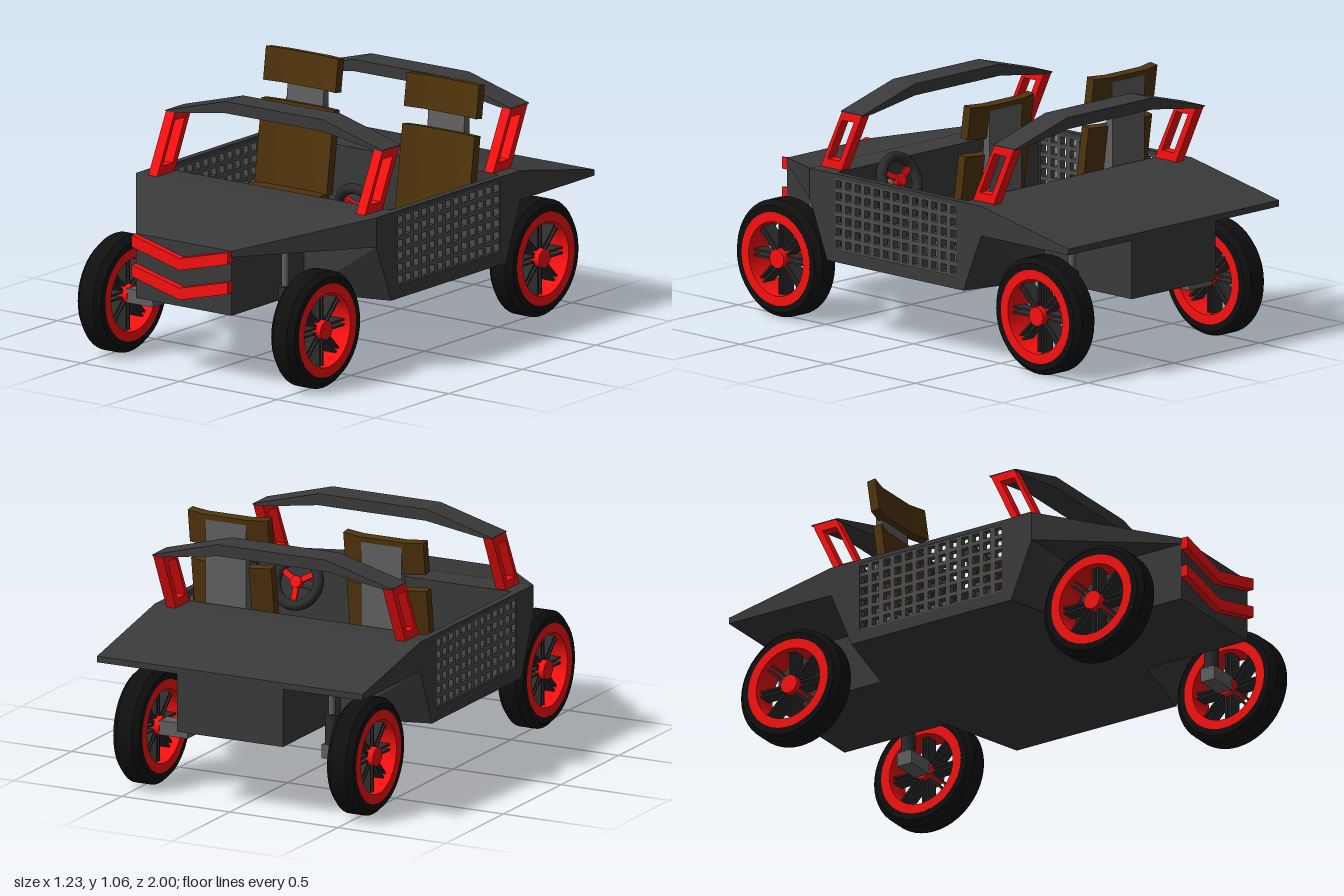
import * as THREE from 'three';
import { toCreasedNormals } from 'three/addons/utils/BufferGeometryUtils.js';
import { ConvexGeometry } from 'three/addons/geometries/ConvexGeometry.js';

const paint = (color) => new THREE.MeshStandardMaterial({ color });
const BODY = paint(0x3a3a3a), RED = paint(0xfa1010), BROWN = paint(0x50340c);
const RUBBER = paint(0x101010), METAL = paint(0x606060), GRILLE = paint(0x4c4c4c), DARK = paint(0x2c2c2c);

function add(parent, name, geometry, material, x = 0, y = 0, z = 0) {
  const mesh = new THREE.Mesh(geometry, material);
  mesh.name = name;
  mesh.position.set(x, y, z);
  parent.add(mesh);
  return mesh;
}

const polygon = (pts) => new THREE.Shape(pts.map(([a, b]) => new THREE.Vector2(a, b)));

// Counter-clockwise rectangle
const rect = (a0, a1, b0, b1) => [[a0, b0], [a1, b0], [a1, b1], [a0, b1]];

// Extrudes a [z, y] outline across x, centred on x; holes run counter-clockwise
function sideExtrude(pts, x, width, holes = []) {
  const shape = polygon(pts);
  shape.holes = holes.map(polygon);
  const geo = new THREE.ExtrudeGeometry(shape, { depth: width, bevelEnabled: false });
  return geo.rotateY(-Math.PI / 2).translate(x + width / 2, 0, 0);
}

// Convex block mirrored in x from [x, y, z] corners
const block = (pts) => new ConvexGeometry(
  pts.flatMap(([x, y, z]) => [new THREE.Vector3(x, y, z), new THREE.Vector3(-x, y, z)]));

const lathe = (pts, segments = 48) => toCreasedNormals(
  new THREE.LatheGeometry(pts.map(([r, y]) => new THREE.Vector2(r, y)), segments).rotateZ(Math.PI / 2), 0.5);

function buildBody() {
  const body = new THREE.Group();
  body.name = 'body';
  const W = 0.615, N = 0.245, LOW = 0.308, MID = 0.554, TOP = 0.678;

  // Hood, nose and front bulkhead, whose lower corners sweep back beside the wheels
  add(body, 'hood', block([[W, TOP, 0.48], [W, MID, 0.48], [N, 0.58, 0.97], [N, MID, 0.97]]), BODY);
  add(body, 'noseBox', block([[N, MID + 0.01, 0.42], [N, LOW, 0.42], [N, MID + 0.01, 0.97], [N, LOW, 0.97]]), BODY);
  add(body, 'frontBulkhead', block([[W, TOP, 0.345], [W, TOP, 0.48], [W, MID, 0.48],
    [W, LOW, 0.38], [N, LOW, 0.48], [W, LOW, 0.345]]), BODY);

  // Rear deck, tail and rear bulkhead
  add(body, 'rearDeck', block([[W, TOP, -0.5], [W, MID, -0.5], [W, 0.58, -1], [W, MID, -1]]), BODY);
  add(body, 'tailBox', block([[N, MID + 0.01, -0.42], [N, LOW, -0.42], [N, MID + 0.01, -0.999], [N, LOW, -0.999]]), BODY);
  add(body, 'rearBulkhead', block([[W, TOP, -0.39], [W, TOP, -0.5], [W, MID, -0.5],
    [W, LOW, -0.4], [N, LOW, -0.5], [W, LOW, -0.39]]), BODY);
  add(body, 'floor', new THREE.BoxGeometry(1.2, 0.035, 0.75), BODY, 0, LOW + 0.0175, -0.02);

  // Side panels, each framing a perforated grille
  const holes = [];
  for (let i = 0; i < 13; i++) for (let j = 0; j < 6; j++) {
    const z = 0.315 - i * 0.0545, y = 0.385 + j * 0.05, h = 0.016;
    holes.push(rect(z - h, z + h, y - h, y + h));
  }
  const opening = rect(-0.36, 0.336, 0.36, 0.66);
  for (const s of [-1, 1]) {
    add(body, 'sidePanel', sideExtrude(rect(-0.39, 0.345, LOW, TOP), s * 0.6, 0.03, [opening]), BODY);
    add(body, 'sideGrille', sideExtrude(opening, s * 0.6, 0.026, holes), GRILLE);
  }

  // Red chevrons on the nose
  for (const y of [0.518, 0.393]) {
    const shape = polygon([[-N, y + 0.062], [-N, y + 0.012], [0, y - 0.05], [N, y + 0.012], [N, y + 0.062], [0, y]]);
    add(body, 'noseChevron', new THREE.ExtrudeGeometry(shape, { depth: 0.03, bevelEnabled: false }), RED, 0, 0, 0.97);
  }
  return body;
}

// Roll bar: arched crosspiece on two hollow slanted posts
function buildRollBar(z) {
  const bar = new THREE.Group();
  bar.name = 'rollBar';
  const arch = polygon([[-0.555, 0.924], [-0.5, 0.924], [-0.25, 0.962], [0.25, 0.962], [0.5, 0.924],
    [0.555, 0.924], [0.555, 0.928], [0.25, 1.011], [-0.25, 1.011], [-0.555, 0.928]]);
  add(bar, 'crossBar', new THREE.ExtrudeGeometry(arch, { depth: 0.125, bevelEnabled: false }), BODY, 0, 0, -0.245);
  const outer = [[0, 0.67], [-0.12, 0.67], [-0.24, 0.926], [-0.125, 0.926]];
  const hole = [[-0.043, 0.715], [-0.125, 0.89], [-0.193, 0.89], [-0.11, 0.715]];
  for (const s of [-1, 1]) add(bar, 'rollBarPost', sideExtrude(outer, s * 0.5315, 0.045, [hole.toReversed().reverse()]), RED);
  bar.position.z = z;
  return bar;
}

function buildSeat(x) {
  const seat = new THREE.Group();
  seat.name = 'seat';
  // Pads bend forward at both ends
  const plan = [[-0.185, -0.02], [-0.1, 0], [0.1, 0], [0.185, -0.02], [0.185, 0.02], [0.1, 0.04], [-0.1, 0.04], [-0.185, 0.02]];
  const pad = (name, height, y, z) => {
    const geo = new THREE.ExtrudeGeometry(polygon(plan), { depth: height, bevelEnabled: false }).rotateX(-Math.PI / 2);
    add(seat, name, geo, BROWN, 0, y, z).rotation.x = -0.14;
  };
  pad('backrest', 0.35, 0.5, -0.265);
  pad('headrest', 0.14, 0.918, -0.324);
  add(seat, 'cushion', new THREE.BoxGeometry(0.37, 0.045, 0.29), BROWN, 0, 0.487, -0.115).rotation.x = -0.05;
  add(seat, 'seatBase', new THREE.BoxGeometry(0.19, 0.13, 0.31), METAL, 0, 0.405, -0.16);
  add(seat, 'backSupport', sideExtrude([[-0.3, 0.34], [-0.358, 1.03], [-0.38, 1.03], [-0.38, 0.34]], 0, 0.186), METAL);
  seat.position.x = x;
  return seat;
}

function buildSteering() {
  const steering = new THREE.Group();
  steering.name = 'steeringWheel';
  add(steering, 'steeringRim', new THREE.TorusGeometry(0.097, 0.022, 12, 40), DARK);
  for (let i = 0; i < 3; i++) {
    const spoke = new THREE.BoxGeometry(0.024, 0.09, 0.012).translate(0, 0.045, 0);
    add(steering, 'steeringSpoke', spoke, RED).rotation.z = Math.PI / 3 + (i * 2 * Math.PI) / 3;
  }
  add(steering, 'steeringHub', new THREE.CylinderGeometry(0.025, 0.025, 0.03, 24).rotateX(Math.PI / 2), RED);
  add(steering, 'steeringColumn', new THREE.CylinderGeometry(0.018, 0.018, 0.15, 16).rotateX(Math.PI / 2), METAL, 0, 0, 0.085);
  steering.position.set(0.345, 0.625, 0.23);
  steering.rotation.x = 0.38;
  return steering;
}

// Wheel with its strut and knuckle, on side s
function buildWheel(s, z) {
  const corner = new THREE.Group();
  corner.name = 'wheelAssembly';
  const wheel = new THREE.Group();
  wheel.name = 'wheel';
  add(wheel, 'tire', lathe([[0.185, -0.06], [0.222, -0.06], [0.245, -0.036], [0.245, 0.036],
    [0.222, 0.06], [0.185, 0.06], [0.185, -0.06]]), RUBBER);
  add(wheel, 'rim', lathe([[0.155, -0.0605], [0.195, -0.0605], [0.195, 0.0605], [0.155, 0.0605], [0.155, -0.0605]]), RED);
  add(wheel, 'hub', new THREE.CylinderGeometry(0.04, 0.04, 0.11, 32).rotateZ(Math.PI / 2), RED);
  for (let i = 0; i < 8; i++) for (const side of [-1, 1]) {
    const spoke = new THREE.BoxGeometry(0.06, 0.13, 0.008).translate(0, 0.095, side * 0.011);
    add(wheel, 'spoke', spoke, DARK).rotation.x = (i * Math.PI) / 4;
  }
  wheel.position.set(s * 0.495, 0.245, z);
  corner.add(wheel);

  // Suspension
  add(corner, 'knuckle', new THREE.BoxGeometry(0.135, 0.06, 0.07), METAL, s * 0.378, 0.246, z);
  add(corner, 'damper', new THREE.CylinderGeometry(0.03, 0.03, 0.13, 24), DARK, s * 0.34, 0.336, z);
  add(corner, 'damperRod', new THREE.CylinderGeometry(0.015, 0.015, 0.18, 16), METAL, s * 0.34, 0.48, z);
  return corner;
}

export function createModel() {
  const model = new THREE.Group();
  model.name = 'openBuggy';
  model.add(buildBody(), buildRollBar(0.48), buildRollBar(-0.39));
  model.add(buildSeat(0.35), buildSeat(-0.37), buildSteering());
  for (const s of [-1, 1]) for (const z of [0.732, -0.75]) model.add(buildWheel(s, z));
  return model;
}
